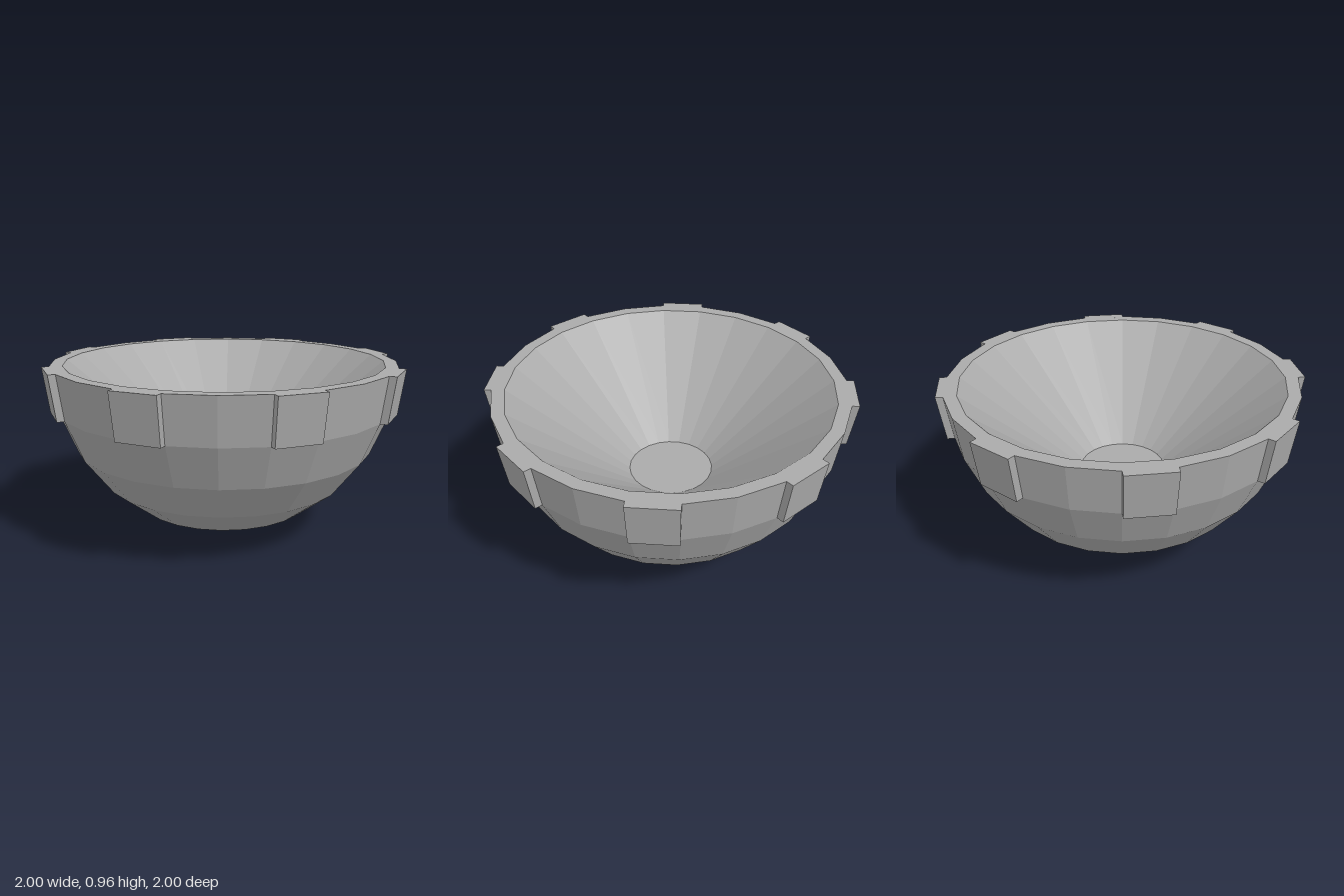
import * as THREE from 'three';

const SIDES = 24;
const R = 0.96; // hull radius, also the rim height
const STEP = Math.PI / 12;

export function createModel() {
  const model = new THREE.Group();
  model.name = 'bowl';
  const grey = new THREE.MeshStandardMaterial({ color: 0xaaaaaa, flatShading: true });
  grey.name = 'grey';

  const add = (name, geometry) => {
    const mesh = new THREE.Mesh(geometry, grey);
    mesh.name = name;
    model.add(mesh);
    return mesh;
  };
  const lathe = (name, points) =>
    add(name, new THREE.LatheGeometry(points.map(([r, y]) => new THREE.Vector2(r, y)), SIDES));

  // Faceted half-sphere hull, from the bottom pole up to the rim
  const ringRadius = (i) => R * Math.sin(i * STEP);
  const ringHeight = (i) => R * (1 - Math.cos(i * STEP));
  const hull = [];
  for (let i = 0; i <= 6; i++) hull.push([ringRadius(i), ringHeight(i)]);
  lathe('hull', hull);

  // Flat rim, conical inside wall and round floor
  lathe('rim', [[R, R], [0.89, R]]);
  lathe('innerCone', [[0.89, R], [0.24, 0.4]]);
  lathe('innerFloor', [[0.24, 0.4], [0, 0.4]]);

  // Raised block covering one facet of the top band, leaning with the hull
  const block = new THREE.BoxGeometry(1, 1, 1);
  const pos = block.attributes.position;
  for (let i = 0; i < pos.count; i++) {
    const top = pos.getY(i) > 0;
    const r = ringRadius(top ? 6 : 5);
    const out = pos.getZ(i) > 0 ? 0.04 : -0.02;
    pos.setXYZ(i,
      Math.sign(pos.getX(i)) * R * Math.sin(STEP / 2),
      top ? R : ringHeight(5),
      r * Math.cos(STEP / 2) + out);
  }
  // Narrow the lower corners to follow the facet
  for (let i = 0; i < pos.count; i++) {
    if (pos.getY(i) < R - 0.01) pos.setX(i, pos.getX(i) * ringRadius(5) / R);
  }
  block.computeVertexNormals();

  // Eight blocks, each one facet wide, every third facet
  for (let k = 0; k < 8; k++) {
    add('rimBlock' + (k + 1), block).rotation.y = -STEP / 2 + k * Math.PI / 4;
  }
  return model;
}
